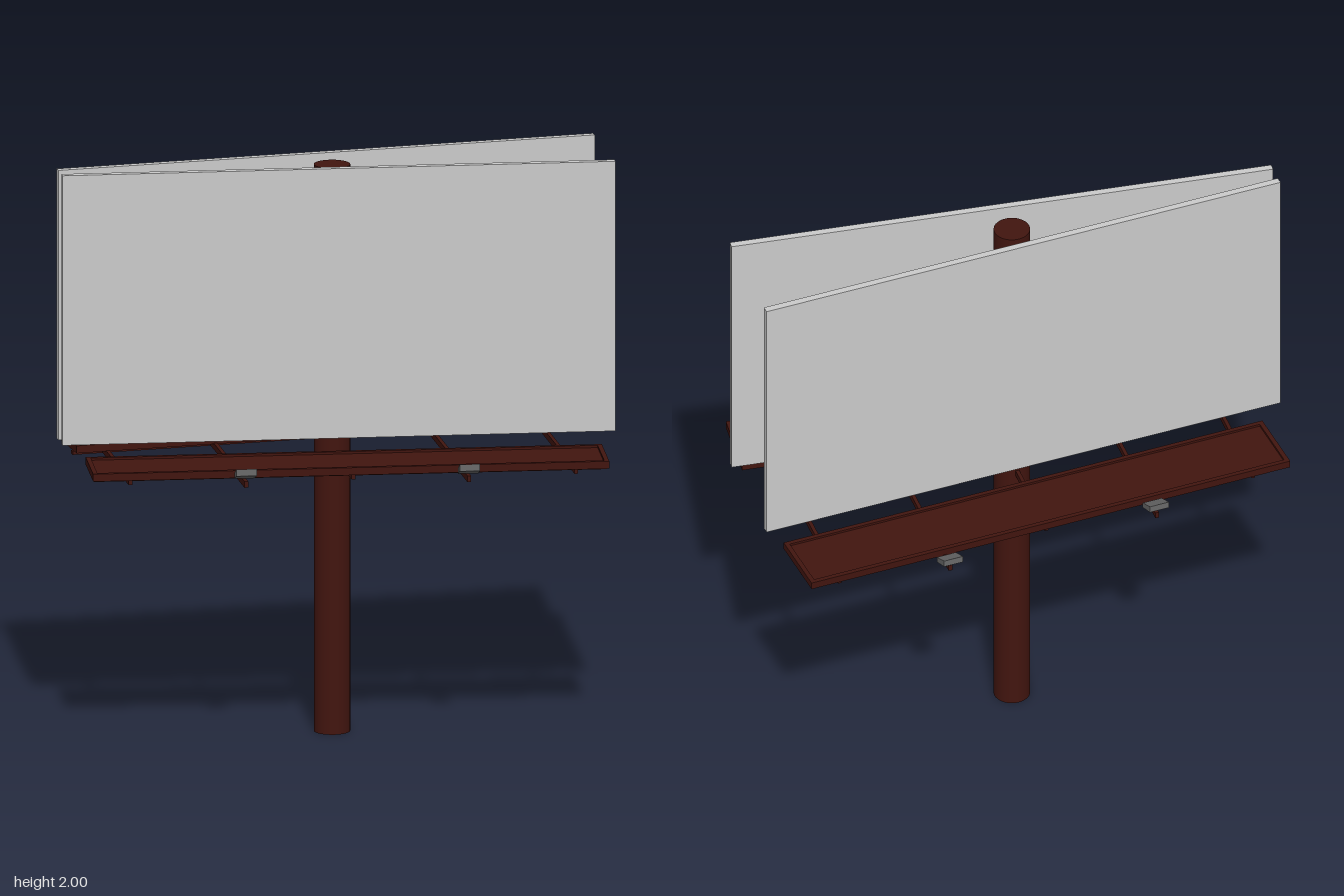
import * as THREE from 'three';

const steel = new THREE.MeshStandardMaterial({ color: 0x42150f });
const grey = new THREE.MeshStandardMaterial({ color: 0xcccccc });
const lampGrey = new THREE.MeshStandardMaterial({ color: 0x6a6a6a });

function box(parent, name, size, pos, material = steel) {
  const mesh = new THREE.Mesh(new THREE.BoxGeometry(...size), material);
  mesh.name = name;
  mesh.position.set(...pos);
  parent.add(mesh);
  return mesh;
}

// Floodlight housing: a slanted block, its high end pointing away from the panel
function lampGeometry() {
  const w = 0.07;
  const profile = new THREE.Shape([
    [-0.032, -0.018], [0.032, 0.006], [0.032, 0.03], [-0.032, 0.002],
  ].map(([z, y]) => new THREE.Vector2(z, y)));
  const geo = new THREE.ExtrudeGeometry(profile, { depth: w, bevelEnabled: false });
  geo.translate(0, 0, -w / 2);
  geo.rotateY(-Math.PI / 2);
  return geo;
}

export function createModel() {
  const model = new THREE.Group();
  model.name = 'billboard';

  // Central pole
  const poleHeight = 1.985;
  const pole = new THREE.Mesh(new THREE.CylinderGeometry(0.062, 0.062, poleHeight, 32), steel);
  pole.name = 'pole';
  pole.position.y = poleHeight / 2;
  model.add(pole);

  // Bracket bars clamping the panels on either side of the pole
  for (const y of [1.355, 1.785])
    for (const x of [-0.07, 0.07])
      box(model, 'panelBracket', [0.012, 0.024, 0.225], [x, y, 0]);

  // Cross beams carrying both catwalks; those at +-0.38 reach out to the lamps
  const slope = 0.085;
  for (const x of [-0.76, -0.38, 0, 0.38, 0.76]) {
    const reach = 0.385 + slope * x + (Math.abs(x) === 0.38 ? 0.08 : 0);
    box(model, 'crossBeam', [0.013, 0.022, 2 * reach], [x, 0.984, 0]);
  }

  const lampShape = lampGeometry();
  for (const s of [1, -1]) {
    const side = s > 0 ? 'front' : 'back';

    // Advertising panel, splayed apart towards +x
    const panel = box(model, side + 'Panel', [1.893, 0.945, 0.025], [0, 1.5275, s * 0.115], grey);
    panel.rotation.y = -s * 0.0805;

    // Catwalk: deck with a raised rim and a rail below
    const catwalk = new THREE.Group();
    catwalk.name = side + 'Catwalk';
    catwalk.position.set(0, 1.005, s * 0.278);
    catwalk.rotation.y = -s * slope;
    model.add(catwalk);
    const L = 1.766, W = 0.246, rim = 0.016;
    box(catwalk, 'deck', [L - rim, 0.01, W - rim], [0, 0, 0]);
    for (const e of [1, -1]) {
      box(catwalk, 'sideRim', [L, 0.026, rim], [0, 0, e * (W - rim) / 2]);
      box(catwalk, 'endRim', [rim, 0.026, W - 2 * rim], [e * (L - rim) / 2, 0, 0]);
    }
    box(catwalk, 'lowerRail', [1.735, 0.012, 0.022], [0, -0.038, -s * 0.008]);

    // Floodlights
    for (const x of [-0.38, 0.38]) {
      const lamp = new THREE.Mesh(lampShape, lampGrey);
      lamp.name = side + 'Lamp';
      lamp.position.set(x, 1.012, s * (0.455 + slope * x * 1.15));
      lamp.rotation.y = (s > 0 ? 0 : Math.PI) - s * slope;
      model.add(lamp);
    }
  }
  return model;
}
